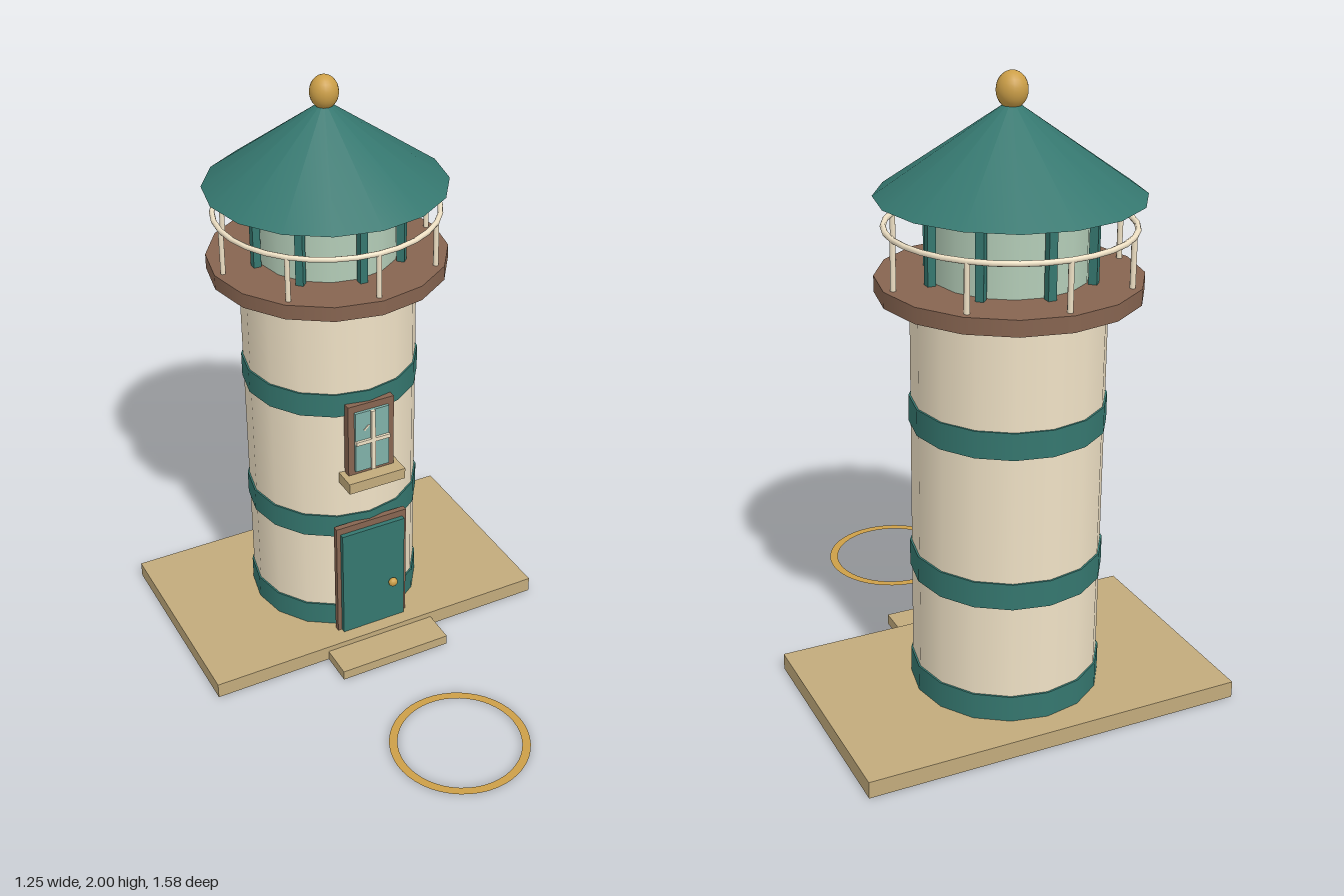
import * as THREE from 'three';

const mat = (color, side = THREE.FrontSide) => new THREE.MeshStandardMaterial({ color, side });
const cream = mat(0xf0e2c6), teal = mat(0x35776f), brown = mat(0x866450), sand = mat(0xc2ab7c);
const gold = mat(0xcc9f48), lanternGlass = mat(0xb4cdb8), paneGlass = mat(0x7fb0a8);
const goldFlat = mat(0xcc9f48, THREE.DoubleSide);
const SIDES = 16;

function add(parent, name, geometry, material, x = 0, y = 0, z = 0) {
  const mesh = new THREE.Mesh(geometry, material);
  mesh.name = name;
  mesh.position.set(x, y, z);
  parent.add(mesh);
  return mesh;
}

// Box given by its width, bottom/top and back/front
function box(parent, name, material, width, y0, y1, z0, z1, x = 0) {
  return add(parent, name, new THREE.BoxGeometry(width, y1 - y0, z1 - z0), material,
    x, (y0 + y1) / 2, (z0 + z1) / 2);
}

// Upright cylinder given by its radius and bottom/top
function drum(parent, name, material, radius, y0, y1, sides = SIDES, x = 0, z = 0) {
  return add(parent, name, new THREE.CylinderGeometry(radius, radius, y1 - y0, sides), material,
    x, (y0 + y1) / 2, z);
}

// Calls place(x, z, angle) for points spread evenly on a circle
function around(count, radius, place) {
  for (let i = 0; i < count; i++) {
    const a = (i / count) * Math.PI * 2;
    place(Math.sin(a) * radius, Math.cos(a) * radius, a);
  }
}

export function createModel() {
  const model = new THREE.Group();
  model.name = 'lighthouse';

  // Ground slab, doorstep and flat ring in front
  box(model, 'baseSlab', sand, 1.25, 0, 0.055, -0.77, -0.015);
  box(model, 'doorstep', sand, 0.41, 0, 0.035, -0.03, 0.105);
  const ring = add(model, 'groundRing', new THREE.RingGeometry(0.207, 0.235, 48), goldFlat, 0, 0.003, 0.555);
  ring.rotation.x = -Math.PI / 2;

  // Tower with painted bands
  const tower = new THREE.Group();
  tower.name = 'tower';
  tower.position.z = -0.39;
  model.add(tower);
  drum(tower, 'towerBody', cream, 0.295, 0.002, 1.36);
  for (const [y0, y1] of [[0.05, 0.14], [0.445, 0.53], [0.935, 1.02]]) {
    drum(tower, 'band', teal, 0.301, y0, y1);
  }

  // Gallery deck and railing
  drum(tower, 'galleryDeck', brown, 0.4, 1.35, 1.4);
  const rail = add(tower, 'handrail', new THREE.TorusGeometry(0.37, 0.009, 8, 32), cream, 0, 1.55, 0);
  rail.rotation.x = Math.PI / 2;
  around(8, 0.37, (x, z) => drum(tower, 'railPost', cream, 0.009, 1.4, 1.55, 8, x, z));

  // Lantern room
  drum(tower, 'lanternGlass', lanternGlass, 0.235, 1.4, 1.64);
  around(8, 0.255, (x, z, a) => {
    const post = box(tower, 'lanternPost', teal, 0.026, 1.4, 1.645, -0.013, 0.013, x);
    post.position.z = z;
    post.rotation.y = a;
  });

  // Roof and finial
  add(tower, 'roof', new THREE.ConeGeometry(0.4, 0.28, SIDES), teal, 0, 1.78, 0);
  add(tower, 'finial', new THREE.SphereGeometry(0.047, 20, 14), gold, 0, 1.945, 0).scale.y = 1.17;

  // Door
  const door = new THREE.Group();
  door.name = 'door';
  model.add(door);
  box(door, 'doorFrame', brown, 0.27, 0.055, 0.5, -0.1, -0.08);
  box(door, 'doorPanel', teal, 0.24, 0.055, 0.475, -0.09, -0.063);
  add(door, 'doorKnob', new THREE.SphereGeometry(0.017, 12, 8), gold, 0.07, 0.22, -0.051).scale.z = 0.8;

  // Window
  const win = new THREE.Group();
  win.name = 'window';
  model.add(win);
  box(win, 'windowFrame', brown, 0.17, 0.7, 0.98, -0.11, -0.08);
  box(win, 'windowPane', paneGlass, 0.125, 0.725, 0.955, -0.085, -0.07);
  box(win, 'verticalBar', cream, 0.014, 0.725, 0.955, -0.075, -0.06);
  box(win, 'horizontalBar', cream, 0.125, 0.833, 0.847, -0.075, -0.061);
  box(win, 'paneGlint', cream, 0.006, 0.88, 0.905, -0.072, -0.067, -0.022).rotation.z = -0.8;
  box(win, 'windowSill', sand, 0.21, 0.67, 0.71, -0.115, -0.033);

  return model;
}
